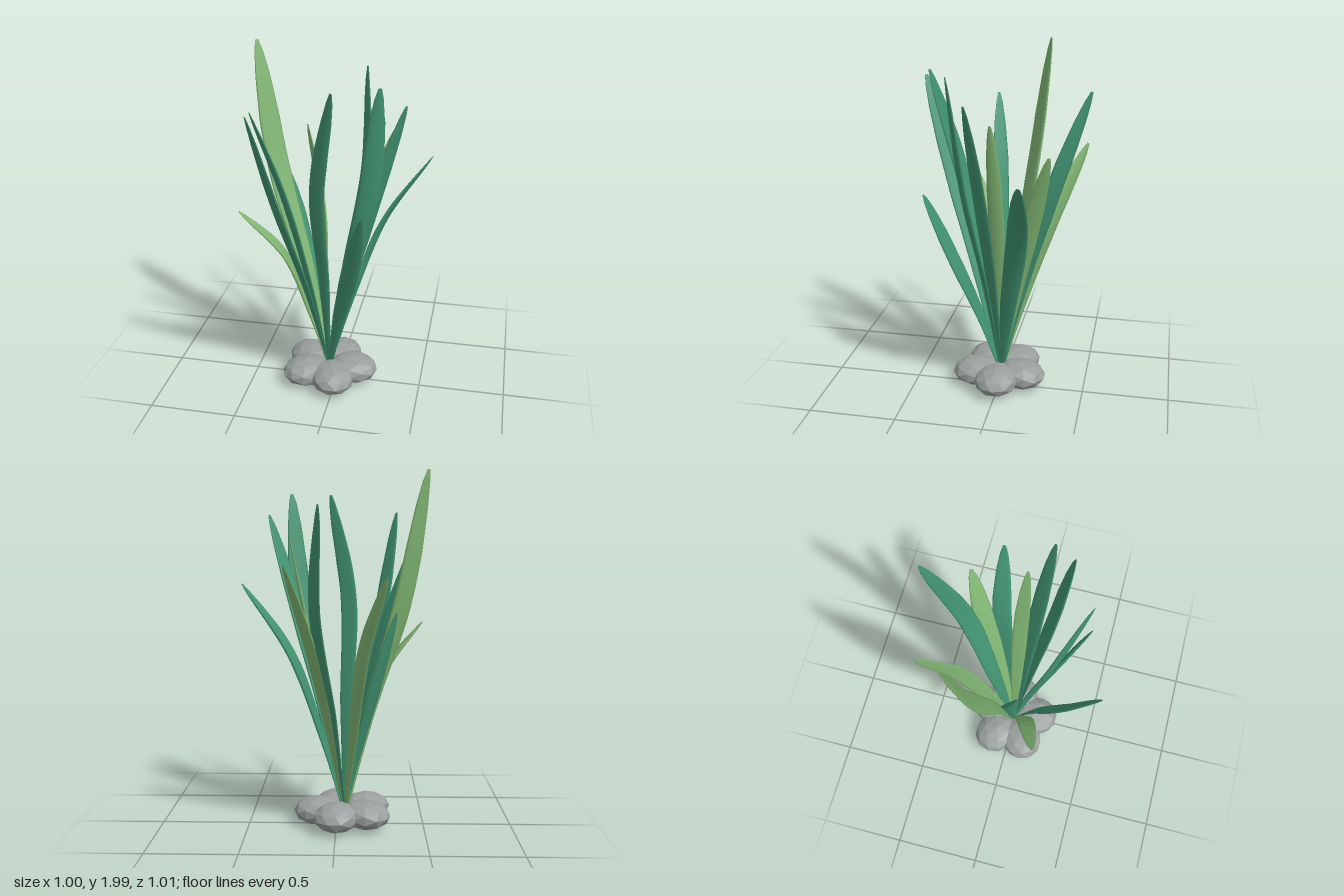
import * as THREE from 'three';

const DARK = 0x429674, LIGHT = 0x82b875;
const ROOT = new THREE.Vector3(-0.05, 0.06, 0);

// half-width of a blade along its length
const PROFILE = [[0, 0.014], [0.15, 0.024], [0.35, 0.042], [0.6, 0.055], [0.78, 0.051], [0.9, 0.037], [0.97, 0.021], [1, 0.008]];
function halfWidth(t) {
  let i = 0;
  while (i < PROFILE.length - 2 && t > PROFILE[i + 1][0]) i++;
  const [t0, w0] = PROFILE[i], [t1, w1] = PROFILE[i + 1];
  return THREE.MathUtils.lerp(w0, w1, (t - t0) / (t1 - t0));
}

// blade swept from the root; angle is the heading of its flat side in plan
function leafGeometry(angle, scale, bend, tip) {
  const ROWS = 32, SIDES = 12;
  const upper = new THREE.Vector3(...bend);
  // every blade rises steeply before it leans out
  const lower = upper.clone().sub(ROOT).multiply(new THREE.Vector3(0.44, 0.5, 0.44)).add(ROOT);
  const curve = new THREE.CatmullRomCurve3([ROOT, lower, upper, new THREE.Vector3(...tip)]);
  const a = THREE.MathUtils.degToRad(angle);
  const heading = new THREE.Vector3(Math.cos(a), 0, Math.sin(a));
  const pos = [], index = [];
  for (let i = 0; i <= ROWS; i++) {
    const t = i / ROWS;
    const p = curve.getPointAt(t), tangent = curve.getTangentAt(t);
    const side = heading.clone().addScaledVector(tangent, -heading.dot(tangent)).normalize();
    const normal = new THREE.Vector3().crossVectors(tangent, side);
    // the shallow channel faces the middle of the plant
    const inward = normal.x * (upper.x - ROOT.x) + normal.z * upper.z > 0 ? -1 : 1;
    const w = halfWidth(t) * scale;
    for (let j = 0; j < SIDES; j++) {
      const u = j / SIDES * Math.PI * 2, c = Math.cos(u);
      const lift = Math.sin(u) * 0.22 * w + inward * c * c * 0.12 * w;
      const v = p.clone().addScaledVector(side, c * w).addScaledVector(normal, lift);
      pos.push(v.x, v.y, v.z);
      if (i < ROWS) {
        const k = i * SIDES + j, n = i * SIDES + (j + 1) % SIDES;
        index.push(k, n, n + SIDES, k, n + SIDES, k + SIDES);
      }
    }
  }
  // close both ends
  const top = ROWS * SIDES;
  for (let j = 1; j < SIDES - 1; j++) index.push(0, j + 1, j, top, top + j, top + j + 1);
  const g = new THREE.BufferGeometry();
  g.setAttribute('position', new THREE.Float32BufferAttribute(pos, 3));
  g.setIndex(index);
  g.computeVertexNormals();
  return g;
}

// flat-side heading, width scale, bend point, tip point
const DARK_LEAVES = [
  [52, 0.95, [-0.3, 1.2, 0.05], [-0.46, 1.68, 0.09]],
  [52, 1.1, [-0.27, 1.25, 0.33], [-0.355, 1.79, 0.5]],
  [30, 1, [-0.07, 1.3, 0.23], [0.04, 1.89, 0.37]],
  [55, 1, [0.11, 1.25, -0.31], [0.08, 1.81, -0.5]],
  [-25, 1.15, [0.2, 1.25, 0.16], [0.26, 1.89, 0.23]],
  [-50, 1.05, [0.23, 1.25, 0.07], [0.38, 1.77, 0.11]],
  [103, 1.15, [0.25, 1.02, -0.14], [0.5, 1.4, -0.19]],
  [20, 0.95, [0.12, 0.87, 0.25], [0.2, 1.24, 0.38]],
  [-52, 1, [-0.22, 0.82, -0.14], [-0.33, 1.25, -0.21]],
];
const LIGHT_LEAVES = [
  [143, 1.2, [-0.37, 1.3, -0.14], [-0.49, 2.0, -0.21]],
  [55, 1, [-0.15, 1.05, -0.29], [-0.27, 1.45, -0.46]],
  [82, 1, [-0.28, 0.88, 0.13], [-0.5, 1.16, 0.22]],
  [88, 0.8, [0.16, 1.15, -0.01], [0.26, 1.65, 0]],
  [55, 1.1, [0.14, 1.05, -0.2], [0.27, 1.5, -0.31]],
];

function leafGroup(name, color, leaves) {
  const group = new THREE.Group();
  group.name = name;
  const material = new THREE.MeshStandardMaterial({ color });
  for (const leaf of leaves) {
    const mesh = new THREE.Mesh(leafGeometry(...leaf), material);
    mesh.name = 'leaf';
    group.add(mesh);
  }
  return group;
}

// ring of five flattened faceted rocks round the base
function rockRing() {
  const rocks = new THREE.Group();
  rocks.name = 'rocks';
  const material = new THREE.MeshStandardMaterial({ color: 0x9a9f9e, flatShading: true });
  const shape = new THREE.IcosahedronGeometry(1, 1);
  for (let i = 0; i < 5; i++) {
    const a = i / 5 * Math.PI * 2;
    const rock = new THREE.Mesh(shape, material);
    rock.name = 'rock';
    rock.scale.set(0.15, 0.08, 0.13);
    rock.position.set(ROOT.x + 0.143 * Math.cos(a), 0.088, 0.135 * Math.sin(a));
    rock.rotation.y = -a;
    rocks.add(rock);
  }
  return rocks;
}

export function createModel() {
  const model = new THREE.Group();
  model.name = 'plant';
  model.add(
    leafGroup('darkLeaves', DARK, DARK_LEAVES),
    leafGroup('lightLeaves', LIGHT, LIGHT_LEAVES),
    rockRing(),
  );
  return model;
}
